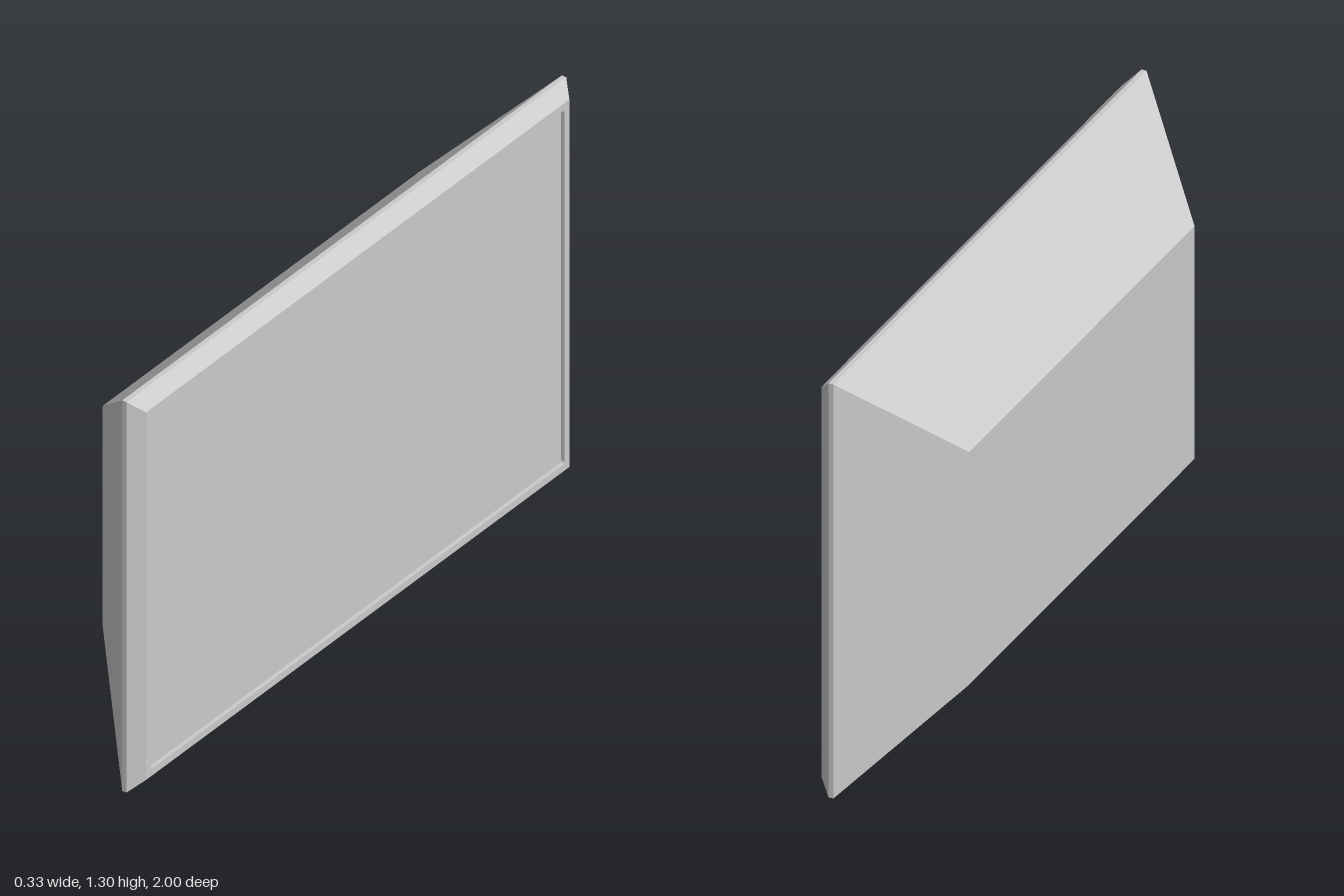
import * as THREE from 'three';

const CENTER_Y = 0.648;
const RECESS = 0.012; // depth of the screen behind the bezel

// Flat-faced shell through rectangles [w, halfWidth, halfHeight]; optional cap at the first
function rectLoft(sections, capStart) {
  const rings = sections.map(([w, a, b]) => [[-a, -b, w], [a, -b, w], [a, b, w], [-a, b, w]]);
  const pos = [];
  const quad = (a, b, c, d) => pos.push(...a, ...b, ...c, ...a, ...c, ...d);
  for (let i = 0; i < rings.length - 1; i++) {
    for (let j = 0; j < 4; j++) {
      const k = (j + 1) % 4;
      quad(rings[i][j], rings[i][k], rings[i + 1][k], rings[i + 1][j]);
    }
  }
  if (capStart) quad(rings[0][3], rings[0][2], rings[0][1], rings[0][0]);
  const geo = new THREE.BufferGeometry();
  geo.setAttribute('position', new THREE.Float32BufferAttribute(pos, 3));
  geo.computeVertexNormals();
  return geo;
}

// Rectangle with slightly rounded corners
function roundedRect(path, a, b, r) {
  path.absarc(a - r, b - r, r, 0, Math.PI / 2);
  path.absarc(-a + r, b - r, r, Math.PI / 2, Math.PI);
  path.absarc(-a + r, -b + r, r, Math.PI, Math.PI * 1.5);
  path.absarc(a - r, -b + r, r, Math.PI * 1.5, Math.PI * 2);
  path.closePath();
  return path;
}

export function createModel() {
  const group = new THREE.Group();
  group.name = 'flatScreen';
  const material = new THREE.MeshStandardMaterial({ color: 0xcccccc, side: THREE.DoubleSide });

  // Parts are drawn facing +z, then turned to face +x
  const add = (name, geo) => {
    geo.rotateY(Math.PI / 2);
    geo.translate(0, CENTER_Y, 0);
    const mesh = new THREE.Mesh(geo, material);
    mesh.name = name;
    group.add(mesh);
  };

  // Tapered back housing
  add('backHousing', rectLoft([[-0.167, 0.72, 0.364], [0.113, 1, 0.648]], true));

  // Thin rim and bevelled frame
  add('frame', rectLoft([[0.113, 1, 0.648], [0.128, 1, 0.648], [0.167, 0.963, 0.61]], false));

  // Front bezel with the screen opening
  const bezel = new THREE.Shape([
    new THREE.Vector2(-0.963, -0.61), new THREE.Vector2(0.963, -0.61),
    new THREE.Vector2(0.963, 0.61), new THREE.Vector2(-0.963, 0.61),
  ]);
  bezel.holes.push(roundedRect(new THREE.Path(), 0.94, 0.587, 0.01));
  const bezelGeo = new THREE.ExtrudeGeometry(bezel, { depth: RECESS, bevelEnabled: false, curveSegments: 4 });
  bezelGeo.translate(0, 0, 0.167 - RECESS);
  add('bezel', bezelGeo);

  // Recessed screen panel
  const screenGeo = new THREE.ShapeGeometry(roundedRect(new THREE.Shape(), 0.94, 0.587, 0.01), 4);
  screenGeo.translate(0, 0, 0.167 - RECESS);
  add('screen', screenGeo);

  return group;
}
